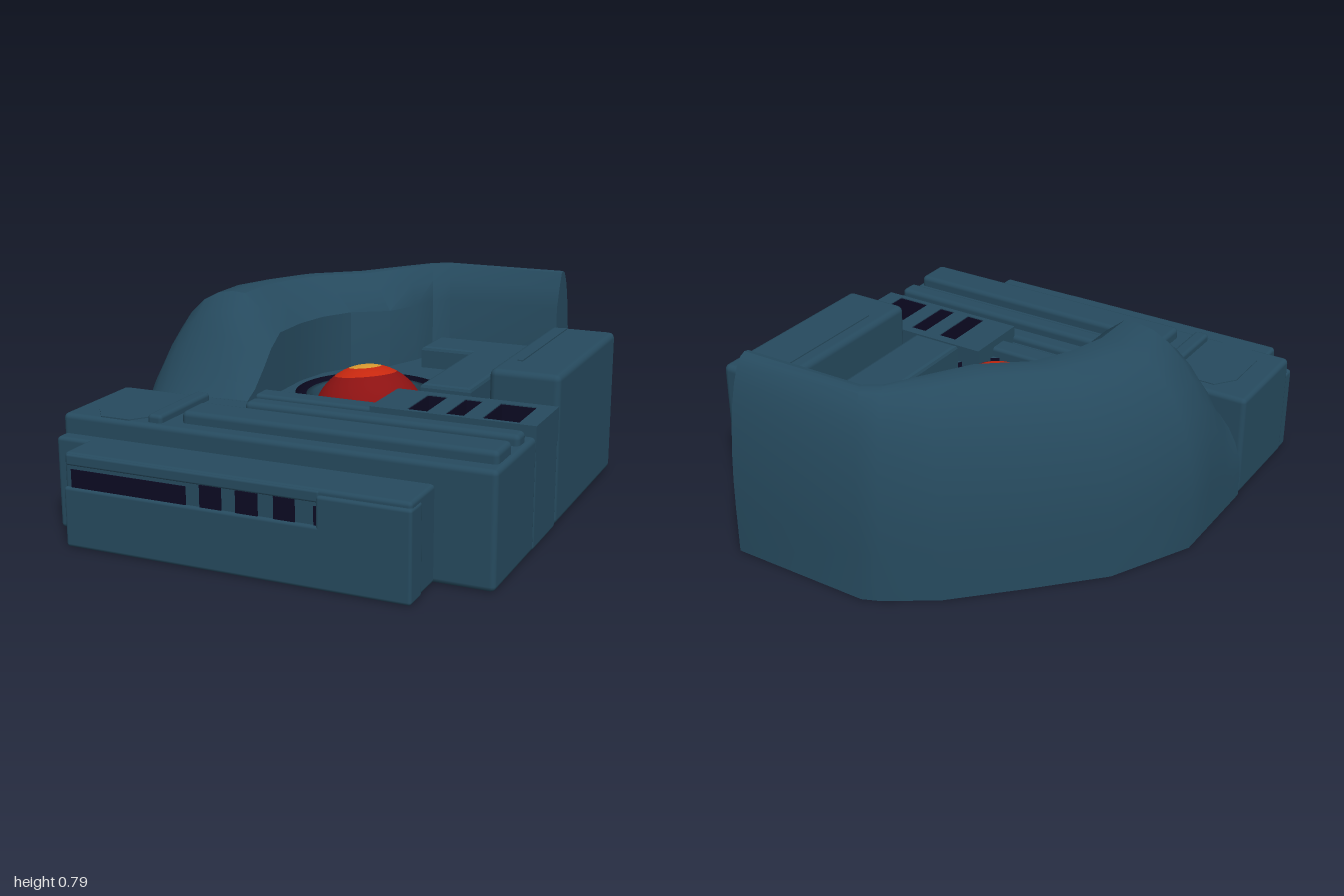
import * as THREE from 'three';
import { toCreasedNormals } from 'three/addons/utils/BufferGeometryUtils.js';
import { RoundedBoxGeometry } from 'three/addons/geometries/RoundedBoxGeometry.js';

const material = (name, color, side = THREE.FrontSide) => {
  const m = new THREE.MeshStandardMaterial({ color, side });
  m.name = name;
  return m;
};

export function createModel() {
  const group = new THREE.Group();
  const teal = material('teal', 0x264a5e);
  const dark = material('darkNavy', 0x0c0a22, THREE.DoubleSide);
  const red = material('darkRed', 0x8c1212);
  const scarlet = material('scarlet', 0xc8280f);
  const gold = material('gold', 0xdc9c30);

  const add = (name, geometry, mat = teal) => {
    const mesh = new THREE.Mesh(geometry, mat);
    mesh.name = name;
    group.add(mesh);
    return mesh;
  };
  // Rounded block given by its limits on each axis
  const block = (name, x0, x1, y0, y1, z0, z1, r = 0.015, mat = teal) => {
    const w = x1 - x0, h = y1 - y0, d = z1 - z0;
    const g = r ? new RoundedBoxGeometry(w, h, d, 2, r) : new THREE.BoxGeometry(w, h, d);
    g.translate((x0 + x1) / 2, (y0 + y1) / 2, (z0 + z1) / 2);
    return add(name, g, mat);
  };
  // Plan outline in (x, z), raised from y0 to y1
  const plan = (pts) => new THREE.Shape(pts.map(([x, z]) => new THREE.Vector2(x, -z)));
  const raise = (name, shape, y0, y1, bevel = 0, mat = teal) => {
    const g = new THREE.ExtrudeGeometry(shape, {
      depth: y1 - y0 - bevel, bevelEnabled: bevel > 0, bevelSize: bevel,
      bevelThickness: bevel, bevelOffset: -bevel, bevelSegments: 2, curveSegments: 24,
    });
    g.rotateX(-Math.PI / 2).translate(0, y0, 0);
    return add(name, g, mat);
  };
  const rect = (x0, x1, z0, z1) => [[x0, z0], [x0, z1], [x1, z1], [x1, z0]];

  // Curved shell: outer x, z, inner x, z, crest height, inner crease height
  const stations = [
    [-0.85, 0.36, -0.3, 0.36, 0.43, 0.43],
    [-0.85, 0.3, -0.3, 0.3, 0.5, 0.46],
    [-0.85, 0.22, -0.3, 0.22, 0.64, 0.53],
    [-0.85, 0.16, -0.3, 0.16, 0.72, 0.59],
    [-0.85, 0.08, -0.3, 0.08, 0.79, 0.64],
    [-0.85, -0.08, -0.3, -0.1, 0.79, 0.64],
    [-0.77, -0.24, -0.27, -0.25, 0.79, 0.64],
    [-0.69, -0.4, -0.2, -0.38, 0.79, 0.64],
    [-0.47, -0.63, -0.06, -0.47, 0.79, 0.64],
    [-0.25, -0.85, 0, -0.62, 0.79, 0.64],
    [-0.07, -0.97, 0.03, -0.74, 0.79, 0.64],
    [0, -1, 0.09, -0.79, 0.79, 0.64],
    [0.57, -1, 0.57, -0.8, 0.79, 0.64],
  ];
  const sections = stations.map(([ox, oz, ix, iz, h, crease]) => {
    const at = (f, y) => [ox + (ix - ox) * f, y, oz + (iz - oz) * f];
    const pts = [at(0, 0)];
    const low = 0.25 * h;
    for (let k = 0; k <= 8; k++) {
      const t = (k / 8) * Math.PI / 2;
      pts.push(at(0.62 * (1 - Math.cos(t)), low + (h - low) * Math.sin(t)));
    }
    pts.push(at(0.72, h - 0.004), at(0.86, crease + (h - crease) * 0.55), at(1, crease), at(1, 0), at(0, 0));
    return pts;
  });
  const verts = [];
  for (let i = 0; i < sections.length - 1; i++) {
    const p = sections[i], q = sections[i + 1];
    for (let j = 0; j < p.length - 1; j++) {
      verts.push(...p[j], ...p[j + 1], ...q[j], ...p[j + 1], ...q[j + 1], ...q[j]);
    }
  }
  const end = sections[sections.length - 1];
  for (let j = 1; j < end.length - 2; j++) verts.push(...end[0], ...end[j], ...end[j + 1]);
  const shell = new THREE.BufferGeometry();
  shell.setAttribute('position', new THREE.Float32BufferAttribute(verts, 3));
  add('curvedShell', toCreasedNormals(shell, 0.6));

  // Inner floor with a round well, and a plate closing the underside
  const outline = stations.map(([ox, oz, ix, iz]) => [(ox + ix) / 2, (oz + iz) / 2]);
  outline[outline.length - 1] = [0.56, -0.9];
  outline.push([0.56, -0.77], [0.6, -0.69], [0.6, 0.38], [-0.5, 0.38]);
  const cx = 0.03, cz = -0.06;
  const floor = plan(outline);
  floor.holes.push(new THREE.Path().absarc(cx, -cz, 0.3, 0, Math.PI * 2, true));
  raise('innerFloor', floor, 0.002, 0.4);
  raise('undersidePlate', plan(outline), 0.001, 0.04);

  // Dome well, rim and banded dome
  const lathe = (name, pts, mat) => add(name, new THREE.LatheGeometry(
    pts.map(([r, y]) => new THREE.Vector2(r, y)), 48), mat).position.set(cx, 0, cz);
  lathe('domeWell', [[0.1, 0.3], [0.3, 0.3], [0.3, 0.402]], dark);
  lathe('domeRim', [[0.257, 0.3], [0.257, 0.395], [0.232, 0.395], [0.232, 0.3]], teal);
  const dome = new THREE.Group();
  dome.name = 'dome';
  [['domeBody', 0.575, 2.2, red], ['domeBand', 0.287, 0.575, scarlet], ['domeCap', 0, 0.287, gold]]
    .forEach(([name, a, b, mat]) => {
      const m = new THREE.Mesh(new THREE.SphereGeometry(0.23, 48, 16, 0, Math.PI * 2, a, b - a), mat);
      m.name = name;
      dome.add(m);
    });
  dome.position.set(cx, 0.28, cz + 0.01);
  dome.rotation.set(-0.09, 0, 0.13);
  group.add(dome);

  // Raised details on the inner floor
  raise('cornerPlate', plan([[0.07, -0.72], [0.07, -0.51], [0.29, -0.51], [0.29, 0.06], [0.495, 0.06], [0.495, -0.72]]),
    0.38, 0.49, 0.015);
  block('floorBar', -0.31, 0.23, 0.3, 0.44, 0.2, 0.29);

  // Tall side block with a thin ridge
  block('sideBlock', 0.575, 0.85, 0, 0.585, -0.71, 0.09, 0.025);
  block('sideRidge', 0.635, 0.655, 0.575, 0.59, -0.67, -0.07, 0);

  // Vented block with three dark-walled slots
  block('ventBase', 0.21, 0.85, 0, 0.36, 0.09, 0.365);
  const ventTop = plan(rect(0.21, 0.85, 0.09, 0.365));
  [[0.35, 0.43], [0.5, 0.57], [0.64, 0.78]].forEach(([a, b]) => {
    ventTop.holes.push(plan(rect(a, b, 0.13, 0.345)));
    const liner = plan(rect(a, b, 0.13, 0.345));
    liner.holes.push(plan(rect(a + 0.005, b - 0.005, 0.135, 0.34)));
    raise('slotLiner', liner, 0.35, 0.466, 0, dark);
  });
  raise('ventTop', ventTop, 0.34, 0.47);

  // Front main block and its top details
  block('mainBlock', -0.85, 0.85, 0, 0.43, 0.355, 0.785, 0.02);
  block('narrowTopBar', -0.24, 0.83, 0.4, 0.47, 0.42, 0.5, 0.02);
  block('wideTopBar', -0.38, 0.83, 0.4, 0.475, 0.57, 0.72, 0.02);
  block('crossBar', -0.5, -0.44, 0.4, 0.46, 0.4, 0.76, 0.015);
  raise('octagonPlate', plan([[-0.69, 0.41], [-0.75, 0.49], [-0.75, 0.69], [-0.69, 0.77], [-0.57, 0.77],
    [-0.51, 0.69], [-0.51, 0.49], [-0.57, 0.41]]), 0.425, 0.434);

  // Stepped front section
  block('frontStep', -0.845, 0.63, 0, 0.355, 0.75, 0.84);
  block('frontBody', -0.71, 0.63, 0, 0.355, 0.78, 0.987);
  block('frontLowerLip', -0.71, 0.63, 0, 0.228, 0.9, 1, 0.012);
  block('frontRightPanel', 0.29, 0.635, 0, 0.335, 0.9, 1, 0.012);
  block('frontUpperLip', -0.7, 0.3, 0.308, 0.35, 0.9, 0.993, 0.008);
  [[-0.68, -0.21, 0.295], [-0.155, -0.07, 0.308], [-0.015, 0.07, 0.308], [0.13, 0.21, 0.308], [0.28, 0.292, 0.295]]
    .forEach(([a, b, top]) => block('frontVent', a, b, 0.222, top, 0.984, 0.991, 0, dark));
  return group;
}
